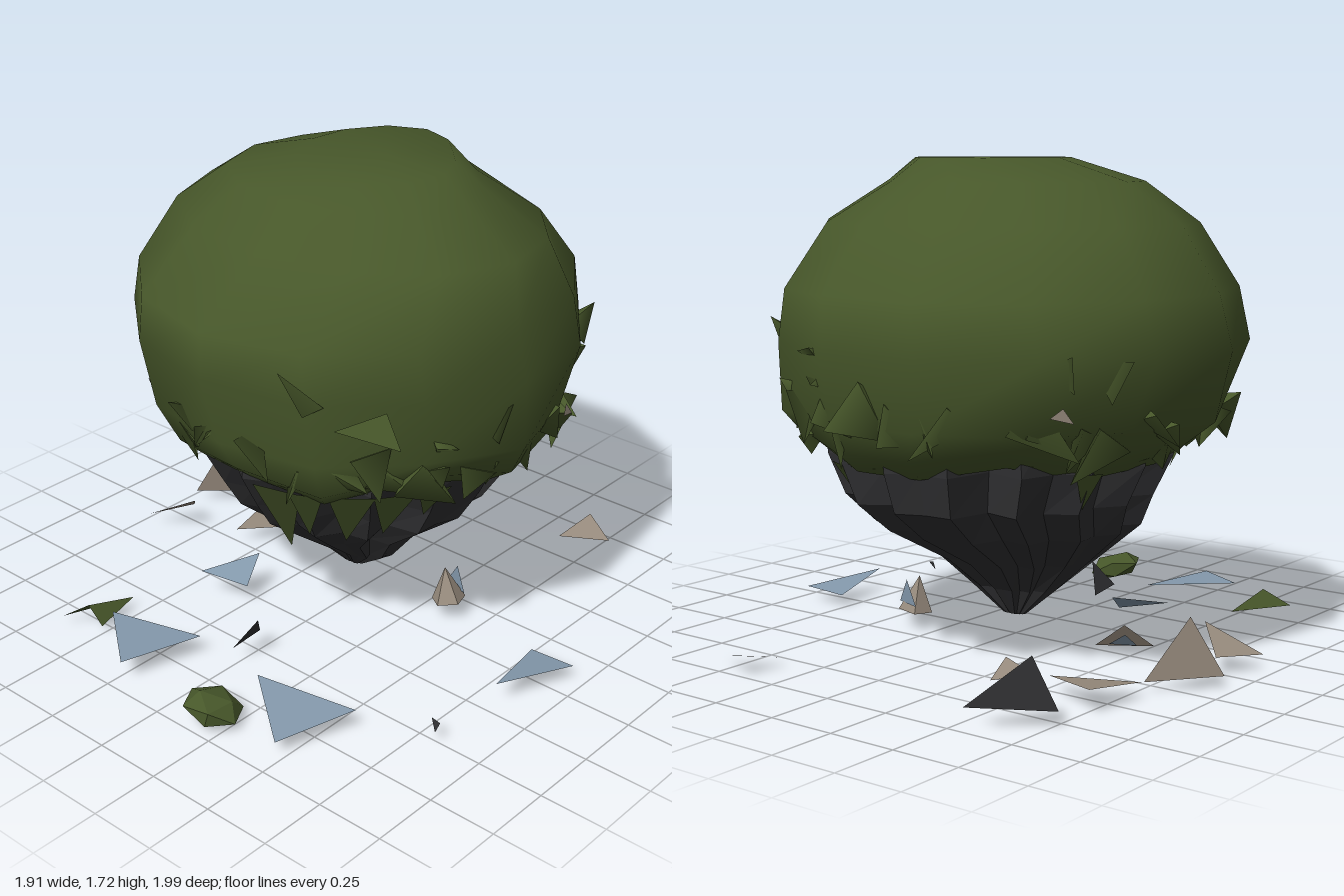
import * as THREE from 'three';
import { mergeGeometries } from 'three/addons/utils/BufferGeometryUtils.js';

const mat = (name, color, extra = {}) => Object.assign(new THREE.MeshStandardMaterial({ color, side: THREE.DoubleSide, ...extra }), { name });

// Sections are [y, xMin, xMax, zMin, zMax], listed from top to bottom
const CROWN = [
  [1.72, -0.25, 0.36, -0.45, 0.2],
  [1.64, -0.5, 0.46, -0.53, 0.28],
  [1.5, -0.71, 0.67, -0.68, 0.43],
  [1.28, -0.86, 0.72, -0.9, 0.67],
  [1.1, -0.92, 0.75, -0.92, 0.66],
  [0.86, -0.83, 0.72, -0.87, 0.61],
  [0.77, -0.7, 0.68, -0.81, 0.58],
  [0.7, -0.6, 0.58, -0.73, 0.5],
  [0.8, -0.4, 0.35, -0.5, 0.3],
];
const TRUNK = [
  [0.86, -0.62, 0.58, -0.75, 0.52],
  [0.7, -0.63, 0.57, -0.75, 0.53],
  [0.56, -0.57, 0.49, -0.71, 0.45],
  [0.45, -0.52, 0.43, -0.57, 0.38],
  [0.32, -0.36, 0.25, -0.33, 0.21],
  [0.2, -0.22, 0.15, -0.17, 0.05],
  [0.1, -0.1, 0.0, -0.1, -0.05],
];

// Point on a section at an angle (0 faces +z, a quarter turn faces +x)
function sectionPoint([y, x0, x1, z0, z1], a, r = 1) {
  return new THREE.Vector3((x0 + x1) / 2 + Math.sin(a) * r * (x1 - x0) / 2, y,
    (z0 + z1) / 2 + Math.cos(a) * r * (z1 - z0) / 2);
}

// Closed skin through the sections
function loft(sections, sides, radius, lift = () => 0) {
  const pos = [], index = [], n = sections.length;
  sections.forEach((s, i) => {
    for (let j = 0; j < sides; j++) {
      const p = sectionPoint(s, j / sides * Math.PI * 2, radius(j, i));
      pos.push(p.x, p.y + lift(j, i), p.z);
    }
  });
  for (const s of [sections[0], sections[n - 1]]) pos.push(...sectionPoint(s, 0, 0).toArray());
  for (let j = 0; j < sides; j++) {
    const k = (j + 1) % sides, last = (n - 1) * sides;
    index.push(n * sides, j, k, n * sides + 1, last + k, last + j);
    for (let i = 0; i < n - 1; i++) {
      const a = i * sides + j, b = i * sides + k;
      index.push(a, a + sides, b, b, a + sides, b + sides);
    }
  }
  const g = new THREE.BufferGeometry();
  g.setAttribute('position', new THREE.Float32BufferAttribute(pos, 3));
  g.setIndex(index);
  g.computeVertexNormals();
  return g;
}

// Section at any height on the outer side of the crown
function crownAt(y) {
  for (let i = 0; i < 7; i++) {
    const a = CROWN[i], b = CROWN[i + 1];
    if (y <= a[0] && y >= b[0]) return a.map((v, k) => v + (b[k] - v) * (a[0] - y) / (a[0] - b[0]));
  }
  return CROWN[7];
}

// Three-sided spike from a base point to a tip
function spike(base, tip, width) {
  const dir = tip.clone().sub(base), len = dir.length();
  const g = new THREE.ConeGeometry(width, len, 3, 1).translate(0, len / 2, 0).scale(1, 1, 0.5);
  g.applyQuaternion(new THREE.Quaternion().setFromUnitVectors(new THREE.Vector3(0, 1, 0), dir.normalize()));
  return g.translate(base.x, base.y, base.z);
}

function triangle(...points) {
  const g = new THREE.BufferGeometry();
  g.setAttribute('position', new THREE.Float32BufferAttribute(points.flat(), 3));
  g.computeVertexNormals();
  return g;
}

export function createModel() {
  const model = new THREE.Group();
  const leaf = mat('leaf green', 0x47572a);
  const leafFlat = mat('leaf green faceted', 0x47572a, { flatShading: true });
  const bark = mat('charcoal bark', 0x303032, { flatShading: true });
  const slate = mat('slate blue', 0x8499ac, { flatShading: true });
  const stone = mat('warm stone', 0x978b7d, { flatShading: true });
  const add = (name, geometry, material) => {
    const m = new THREE.Mesh(geometry, material);
    m.name = name;
    model.add(m);
    return m;
  };
  let seed = 7;
  const rand = (a, b) => {
    seed = (seed * 16807) % 2147483647;
    return a + (b - a) * seed / 2147483647;
  };

  // Smooth lopsided crown: cut back on one upper side, fuller on the opposite one
  const cut = [0.28, 0.16, 0.04], bulge = [0, 0.12, 0.08];
  add('crown', loft(CROWN, 13, (j, i) => {
    if (i > 4) return 1 + 0.04 * Math.sin(j * 2.7);
    const c = Math.cos(j / 13 * Math.PI * 2 - 2.36);
    return 1 - (cut[i] || 0) * Math.max(0, c) ** 3 + (bulge[i] || 0) * Math.max(0, -c) ** 3;
  }, (j, i) => (i > 5 ? 0.035 * Math.sin(j * 4.1) : 0)), leaf);

  // Inverted trunk of branches fused into uneven pleats
  add('trunk', loft(TRUNK, 32, (j, i) => (j % 2 ? 0.86 + 0.09 * Math.sin(j * 1.9 + i * 0.3) : 1)), bark);

  // Ragged leaf points around the lower edge
  const tufts = [];
  for (let i = 0; i < 40; i++) {
    const a = i / 40 * Math.PI * 2 + rand(-0.08, 0.08);
    const y = rand(0.78, 0.94);
    const base = sectionPoint(crownAt(y), a, 0.93);
    const tip = sectionPoint(crownAt(y - 0.06), a + rand(-0.25, 0.25), rand(0.97, 1.04));
    tip.y = y - rand(0.07, 0.16);
    tufts.push(spike(base, tip, rand(0.07, 0.13)));
  }
  // Scattered folded leaves higher up the crown
  for (let i = 0; i < 10; i++) {
    const a = rand(0, Math.PI * 2), y = rand(0.9, 1.1);
    const base = sectionPoint(crownAt(y), a, 0.93);
    const tip = sectionPoint(crownAt(y), a + rand(-0.15, 0.15), rand(1.0, 1.05));
    tip.y += rand(-0.06, 0.1);
    tufts.push(spike(base, tip, rand(0.05, 0.09)));
  }
  tufts.push(spike(new THREE.Vector3(0.3, 1.08, 0.55), new THREE.Vector3(0.27, 1.24, 0.66), 0.07));
  add('leafTufts', mergeGeometries(tufts), leaf);

  // Single leaf standing off the crown
  add('looseLeaf', triangle([0.43, 1.05, 0.57], [0.62, 1.0, 0.46], [0.55, 1.11, 0.45]), leafFlat);

  // Leaves hanging over the trunk: [angle, half width, length]
  const hanging = [[0.24, 0.15, 1.3], [0.42, 0.1, 0.9], [0.68, 0.13, 0.95], [0.92, 0.12, 0.8], [1.15, 0.1, 0.5],
    [2.0, 0.1, 0.6], [2.7, 0.07, 0.5], [4.3, 0.08, 0.5], [5.4, 0.07, 0.3]].map(([a, w, length]) => {
    const top = sectionPoint(TRUNK[1], a, 1.01);
    const tip = top.clone().lerp(sectionPoint(TRUNK[3], a - 0.05, 1.03), length);
    return triangle(sectionPoint(TRUNK[1], a - w, 1.01).toArray(), tip.toArray(),
      sectionPoint(TRUNK[1], a + w, 1.01).toArray());
  });
  add('hangingLeaves', mergeGeometries(hanging), leafFlat);

  // Stone chips caught in the leaves: [angle, height]
  const chips = [[-0.78, 0.83], [1.76, 0.91], [-2.3, 0.93]].map(([a, y]) => triangle(
    sectionPoint(crownAt(y), a - 0.05, 1.05).toArray(),
    sectionPoint(crownAt(y - 0.02), a + 0.05, 1.05).toArray(),
    sectionPoint(crownAt(y + 0.03), a, 1.03).toArray()));
  add('caughtChips', mergeGeometries(chips), stone);

  // Flat shards scattered over the ground
  const shards = {
    slateShards: [slate, [
      triangle([0.77, 0.04, -0.1], [0.84, 0.08, 0.2], [0.95, 0.05, -0.1]),
      triangle([-0.46, 0.1, 0.78], [-0.22, 0.08, 0.96], [-0.14, 0.07, 0.65]),
      triangle([0.19, 0.08, 0.7], [0.47, 0.05, 0.91], [0.57, 0.07, 0.62]),
      triangle([-0.42, 0.1, 0.37], [-0.25, 0.07, 0.3], [-0.3, 0.14, 0.18]),
      triangle([0.3, 0.09, -0.21], [0.36, 0.18, -0.19], [0.41, 0.09, -0.17]),
      triangle([-0.57, 0.06, -0.06], [-0.5, 0.07, -0.13], [-0.56, 0.11, -0.12]),
    ]],
    stoneShards: [stone, [
      triangle([0.37, 0.03, -0.83], [0.54, 0.03, -0.93], [0.4, 0.07, -1]),
      triangle([-0.96, 0.04, -0.13], [-0.87, 0.24, -0.2], [-0.77, 0.03, -0.32]),
      triangle([-0.95, 0.05, 0.14], [-0.76, 0.15, 0.07], [-0.86, 0.06, -0.02]),
      triangle([-0.77, 0.08, -0.63], [-0.8, 0.05, -0.38], [-0.52, 0.05, -0.5]),
      triangle([-0.6, 0.05, 0.0], [-0.45, 0.06, -0.14], [-0.55, 0.14, -0.11]),
      triangle([-0.5, 0.06, -0.55], [-0.4, 0.05, -0.66], [-0.38, 0.1, -0.55]),
    ]],
    barkShards: [bark, [
      triangle([-0.77, 0.05, -0.79], [-0.53, 0.06, -0.96], [-0.69, 0.22, -0.82]),
      triangle([-0.03, 0.05, 0.46], [-0.01, 0.06, 0.62], [0.04, 0.16, 0.54]),
      triangle([0.76, 0.04, 0.45], [0.83, 0.05, 0.52], [0.82, 0.06, 0.48]),
    ]],
    leafShards: [leafFlat, [
      triangle([-0.55, 0.04, 0.6], [-0.66, 0.03, 0.85], [-0.57, 0.09, 0.8]),
      triangle([-0.55, 0.04, 0.6], [-0.57, 0.09, 0.8], [-0.5, 0.03, 0.8]),
    ]],
  };
  for (const [name, [material, list]] of Object.entries(shards)) add(name, mergeGeometries(list), material);

  // Faceted lumps
  const rock = add('mossyRock', new THREE.IcosahedronGeometry(1, 0), leafFlat);
  rock.scale.set(0.11, 0.052, 0.1);
  rock.position.set(0.18, 0.055, 0.905);
  rock.rotation.set(0, 0.5, -0.25);
  const chip = add('pointedStone', new THREE.ConeGeometry(0.065, 0.13, 5), stone);
  chip.position.set(0.35, 0.125, -0.14);
  chip.rotation.z = 0.15;

  return model;
}
